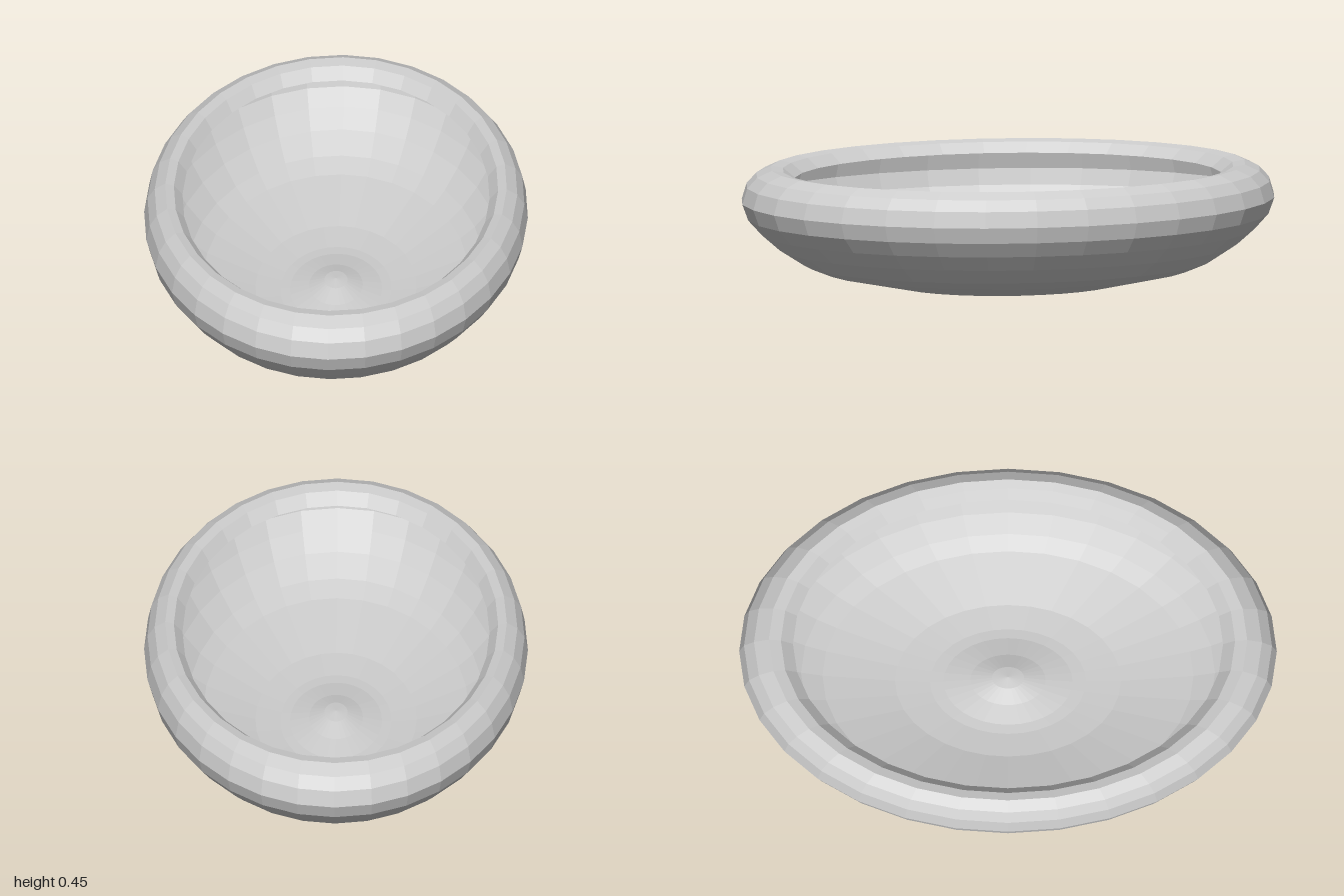
import * as THREE from 'three';

const SEGMENTS = 32;
const WIDTH_RATIO = 0.714; // oval: narrower across x than along z

// Faceted oval ring surface turned from a [radius, height] profile
function ovalLathe(name, profile, material) {
  const points = profile.map(([r, y]) => new THREE.Vector2(r, y));
  const geometry = new THREE.LatheGeometry(points, SEGMENTS);
  geometry.scale(WIDTH_RATIO, 1, 1);
  const mesh = new THREE.Mesh(geometry, material);
  mesh.name = name;
  return mesh;
}

export function createModel() {
  const group = new THREE.Group();
  group.name = 'ovalBowl';
  const material = new THREE.MeshStandardMaterial({
    color: 0xcccccc, flatShading: true, side: THREE.DoubleSide,
  });

  // Thin-walled bowl with a dimple pushed up in the middle of the base
  group.add(ovalLathe('bowl', [
    [0, 0.05], [0.06, 0.043], [0.14, 0.02], [0.24, 0.003], [0.29, 0.001],
    [0.42, 0.01], [0.69, 0.065], [0.77, 0.097], [0.86, 0.155],
    [0.926, 0.213], [0.978, 0.27], [1, 0.33],
  ], material));

  // Rim curling inward over the bowl to an open lip
  group.add(ovalLathe('rim', [
    [1, 0.33], [0.982, 0.39], [0.945, 0.43], [0.89, 0.455],
    [0.845, 0.447], [0.8, 0.41],
  ], material));

  return group;
}
